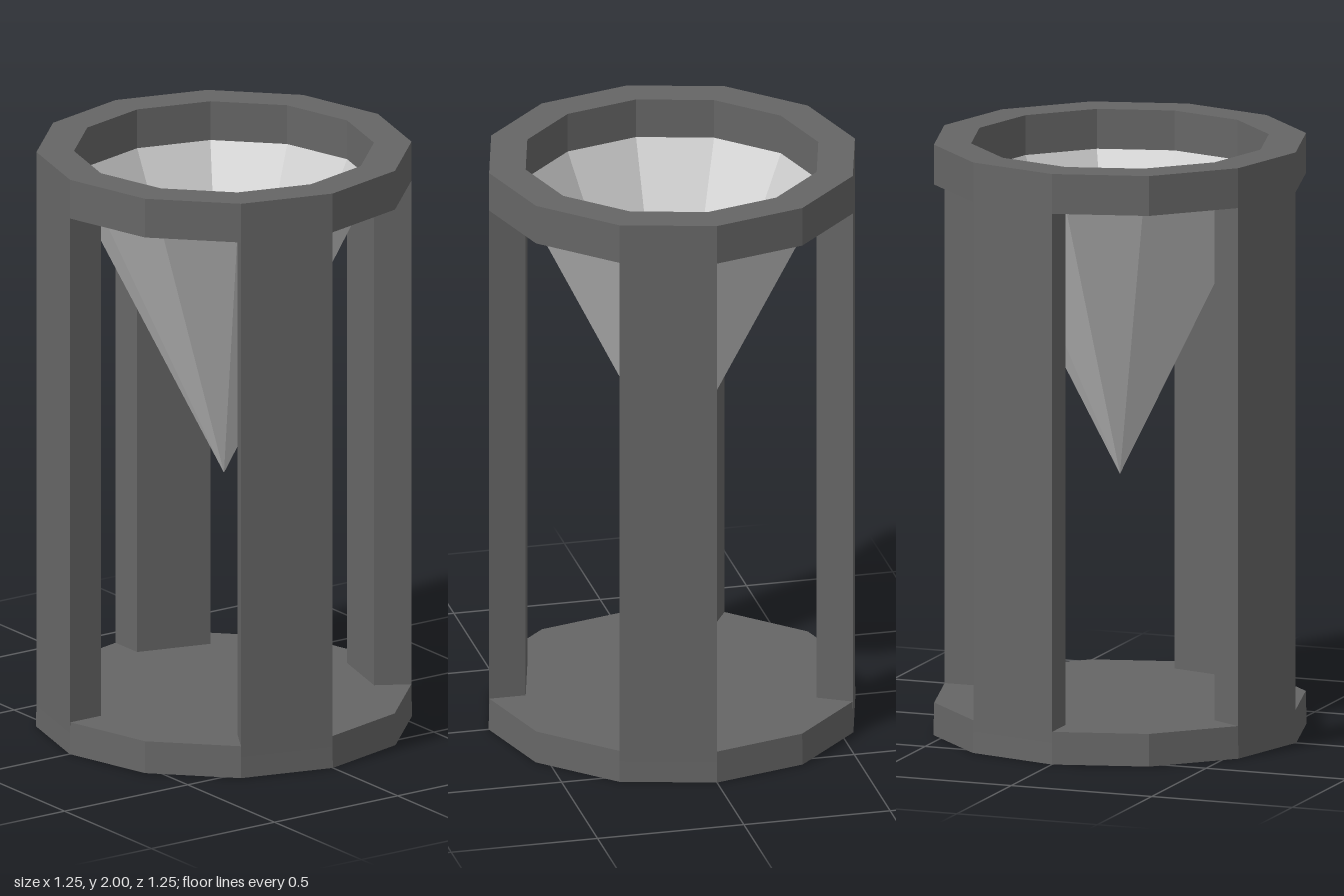
import * as THREE from 'three';

const SIDES = 12, OUTER = 0.625, INNER = 0.5;
const RING_Y = 1.865, TOP_Y = 2, BASE_Y = 0.11, APEX_Y = 0.865;

const flat = (color) => new THREE.MeshStandardMaterial({
  color, flatShading: true, side: THREE.DoubleSide,
});
const frameMaterial = flat(0x666666);
const funnelMaterial = flat(0xcccccc);

// Twelve-sided turned part from [radius, height] pairs
function turned(name, profile, material) {
  const points = profile.map(([r, y]) => new THREE.Vector2(r, y));
  const mesh = new THREE.Mesh(new THREE.LatheGeometry(points, SIDES), material);
  mesh.name = name;
  return mesh;
}

// Vertical walls around a closed loop of [x, z] corners, open at both ends
function walls(corners, y0, y1) {
  const positions = [];
  corners.forEach(([ax, az], i) => {
    const [bx, bz] = corners[(i + 1) % corners.length];
    positions.push(ax, y0, az, bx, y0, bz, bx, y1, bz);
    positions.push(ax, y0, az, bx, y1, bz, ax, y1, az);
  });
  const geometry = new THREE.BufferGeometry();
  geometry.setAttribute('position', new THREE.Float32BufferAttribute(positions, 3));
  geometry.computeVertexNormals();
  return geometry;
}

export function createModel() {
  const model = new THREE.Group();
  model.name = 'coneStand';

  // Hollow base with a lid, open underneath and slightly flared
  model.add(turned('base', [[0.627, 0], [0.624, BASE_Y], [0, BASE_Y]], frameMaterial));

  // Top ring
  model.add(turned('topRing', [
    [INNER, RING_Y], [OUTER, RING_Y], [OUTER, TOP_Y], [INNER, TOP_Y], [INNER, RING_Y],
  ], frameMaterial));

  // Funnel hanging from the ring's inner edge
  model.add(turned('funnel', [[0, APEX_Y], [INNER, RING_Y]], funnelMaterial));

  // Four pillars, each filling one facet of the ring
  const step = (2 * Math.PI) / SIDES;
  const at = (r, a) => [r * Math.sin(a), r * Math.cos(a)];
  const pillarGeometry = walls(
    [at(OUTER, -step), at(OUTER, 0), at(INNER, 0), at(INNER, -step)], 0, RING_Y);
  for (let i = 0; i < 4; i++) {
    const pillar = new THREE.Mesh(pillarGeometry, frameMaterial);
    pillar.name = 'pillar' + (i + 1);
    pillar.rotation.y = (i * Math.PI) / 2;
    model.add(pillar);
  }

  return model;
}
